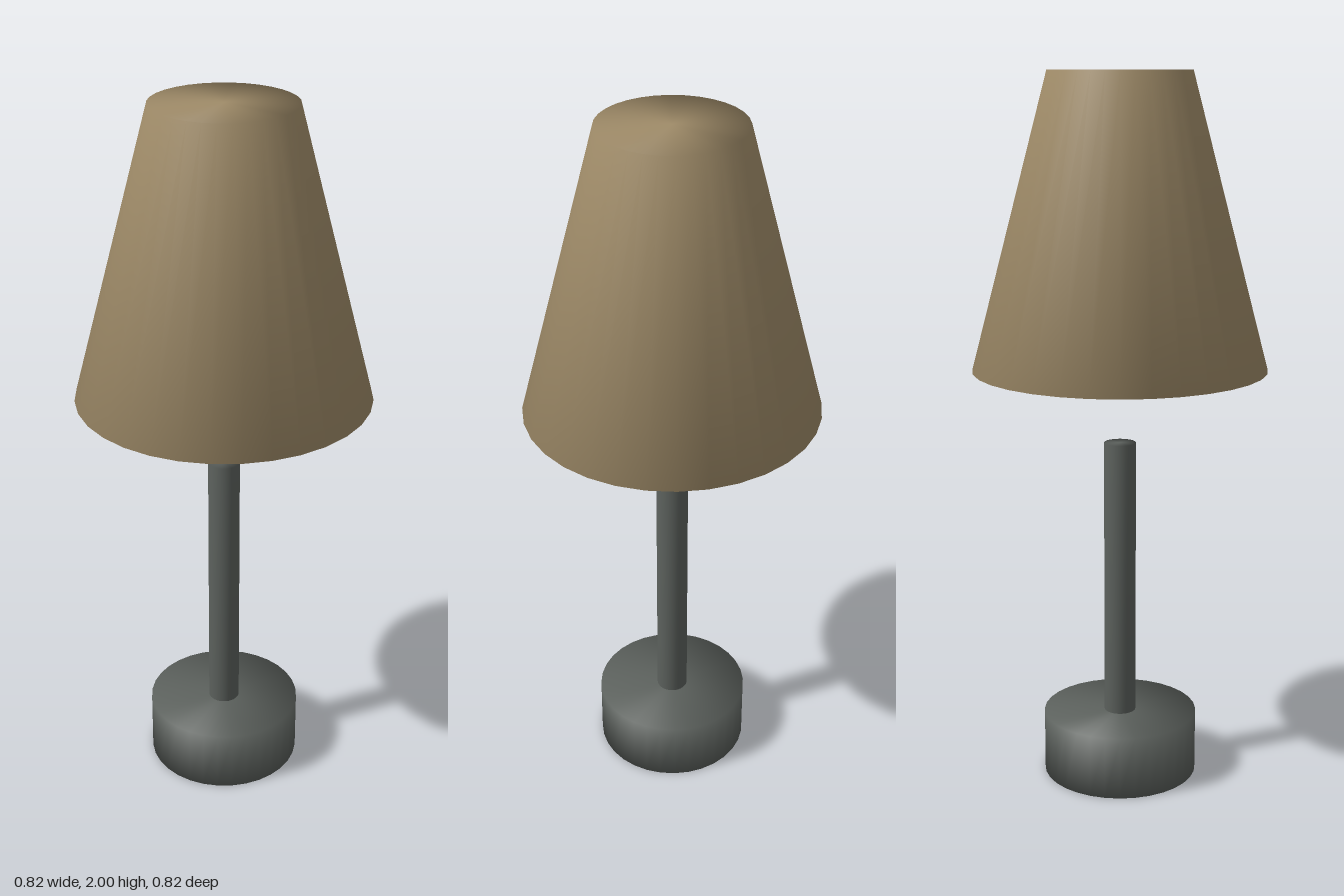
import * as THREE from 'three';
import { mergeVertices } from 'three/addons/utils/BufferGeometryUtils.js';

const SIDES = 32;

// Closed round section whose normals blend smoothly over the rims.
function roundPart(name, topRadius, bottomRadius, y0, y1, material) {
  let geometry = new THREE.CylinderGeometry(topRadius, bottomRadius, y1 - y0, SIDES);
  geometry.deleteAttribute('normal');
  geometry.deleteAttribute('uv');
  geometry = mergeVertices(geometry, 1e-4);
  geometry.computeVertexNormals();
  const mesh = new THREE.Mesh(geometry, material);
  mesh.name = name;
  mesh.position.y = (y0 + y1) / 2;
  return mesh;
}

export function createModel() {
  const metal = new THREE.MeshStandardMaterial({ color: 0x5c615d });
  metal.name = 'dark grey metal';
  const fabric = new THREE.MeshStandardMaterial({ color: 0xa08c69 });
  fabric.name = 'tan fabric';

  const lamp = new THREE.Group();
  lamp.name = 'tableLamp';
  lamp.add(
    roundPart('base', 0.22, 0.22, 0, 0.18, metal),
    roundPart('pole', 0.045, 0.045, 0.18, 0.98, metal),
    // The shade floats clear of the pole.
    roundPart('lampshade', 0.196, 0.41, 1.19, 2, fabric)
  );
  return lamp;
}
